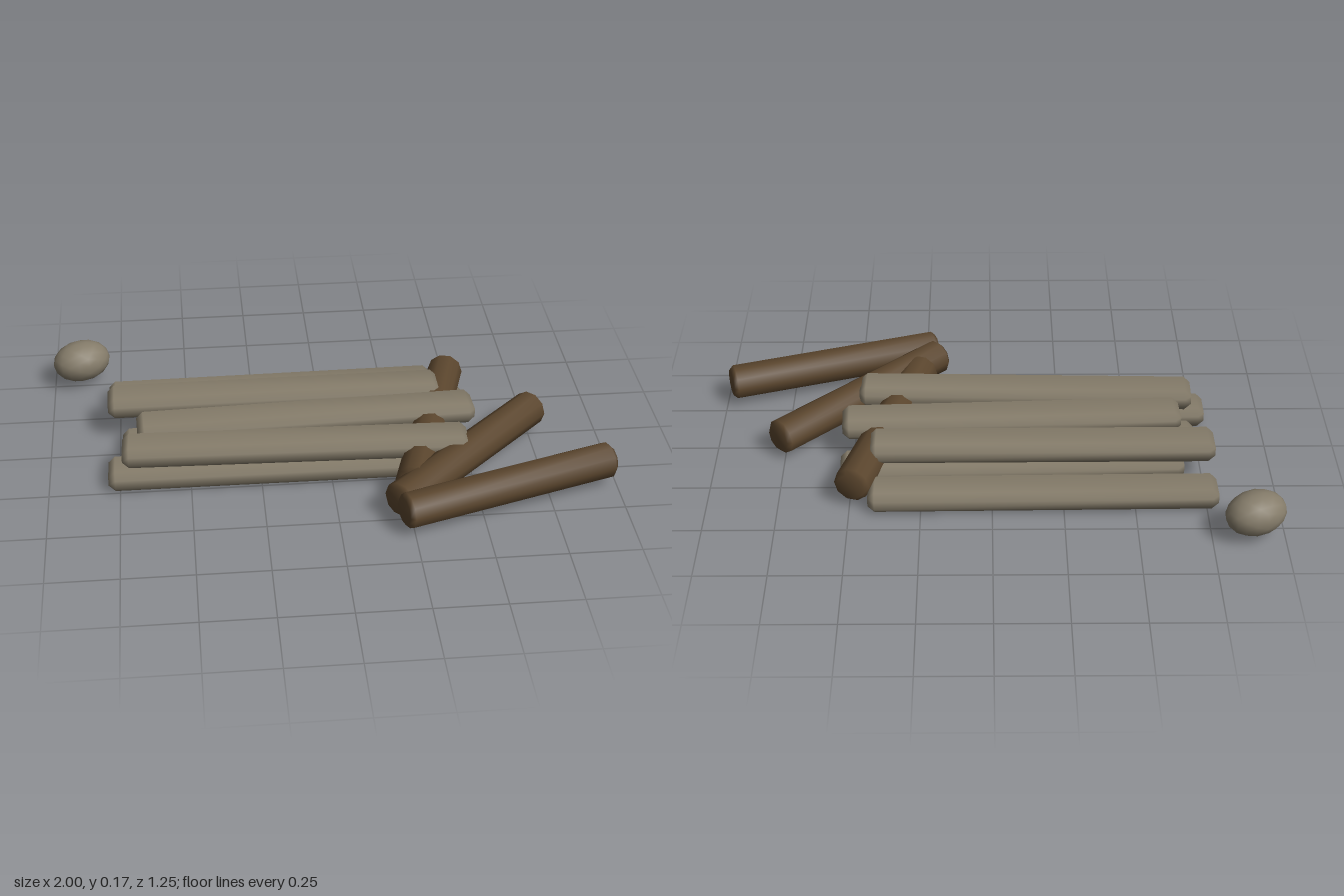
import * as THREE from 'three';
import { mergeVertices } from 'three/addons/utils/BufferGeometryUtils.js';
import { ConvexGeometry } from 'three/addons/geometries/ConvexGeometry.js';

// Weld vertices so that shading runs smoothly over the bevels
function smooth(geometry) {
  geometry.deleteAttribute('normal');
  geometry.deleteAttribute('uv');
  const welded = mergeVertices(geometry, 1e-4);
  welded.computeVertexNormals();
  return welded;
}

// Box with all edges chamfered by c
function chamferedBox(w, h, d, c) {
  const points = [];
  for (const x of [-1, 1]) for (const y of [-1, 1]) for (const z of [-1, 1]) {
    for (let axis = 0; axis < 3; axis++) {
      const inset = [0, 1, 2].map((i) => (i === axis ? 0 : c));
      points.push(new THREE.Vector3(
        x * (w / 2 - inset[0]), y * (h / 2 - inset[1]), z * (d / 2 - inset[2])));
    }
  }
  return smooth(new ConvexGeometry(points));
}

// Log with bevelled ends, lying along x
function bevelledLog(length, r, bevel, sides) {
  const h = length / 2;
  const profile = [[0, -h], [r - bevel, -h], [r, -h + bevel], [r, h - bevel], [r - bevel, h], [0, h]]
    .map(([x, y]) => new THREE.Vector2(x, y));
  return smooth(new THREE.LatheGeometry(profile, sides).rotateZ(-Math.PI / 2));
}

// Place a piece so that its x axis runs between two points on the plan
function layBetween(mesh, [x0, z0], [x1, z1], y) {
  mesh.position.set((x0 + x1) / 2, y, (z0 + z1) / 2);
  mesh.rotation.y = -Math.atan2(z1 - z0, x1 - x0);
  return mesh;
}

export function createModel() {
  const model = new THREE.Group();
  model.name = 'woodPile';

  const greyWood = new THREE.MeshStandardMaterial({ color: 0x857c6a });
  greyWood.name = 'weatheredGrey';
  const brownWood = new THREE.MeshStandardMaterial({ color: 0x5a452d });
  brownWood.name = 'darkBrown';

  // Two layers of loosely stacked planks: left x, left z, right x, right z
  const plankGeometry = chamferedBox(1.225, 0.08, 0.148, 0.024);
  const layers = [
    { name: 'lowerPlank', y: 0.042, planks: [
      [-0.79, -0.333, 0.435, -0.346],
      [-0.685, -0.15, 0.54, -0.185],
      [-0.738, 0.003, 0.487, 0.012],
      [-0.79, 0.185, 0.435, 0.19]] },
    { name: 'upperPlank', y: 0.126, planks: [
      [-0.79, -0.165, 0.435, -0.17],
      [-0.685, 0.03, 0.54, -0.018],
      [-0.738, 0.17, 0.487, 0.203]] },
  ];
  for (const { name, y, planks } of layers) {
    planks.forEach(([x0, z0, x1, z1], i) => {
      const plank = new THREE.Mesh(plankGeometry, greyWood);
      plank.name = name + (i + 1);
      model.add(layBetween(plank, [x0, z0], [x1, z1], y));
    });
  }

  // Round logs fanned out beside the stack
  const logGeometry = bevelledLog(0.81, 0.065, 0.015, 10);
  const logs = [
    [0.265, 0.41, 0.493, -0.36],
    [0.2, 0.51, 0.77, -0.055],
    [0.215, 0.57, 0.98, 0.32],
  ];
  logs.forEach(([x0, z0, x1, z1], i) => {
    const log = new THREE.Mesh(logGeometry, brownWood);
    log.name = 'log' + (i + 1);
    model.add(layBetween(log, [x0, z0], [x1, z1], 0.085));
  });

  // Loose stone
  const stone = new THREE.Mesh(smooth(new THREE.IcosahedronGeometry(1, 2)), greyWood);
  stone.name = 'stone';
  stone.scale.set(0.111, 0.077, 0.085);
  stone.position.set(-0.895, 0.095, -0.533);
  stone.rotation.y = 0.42;
  model.add(stone);

  return model;
}
